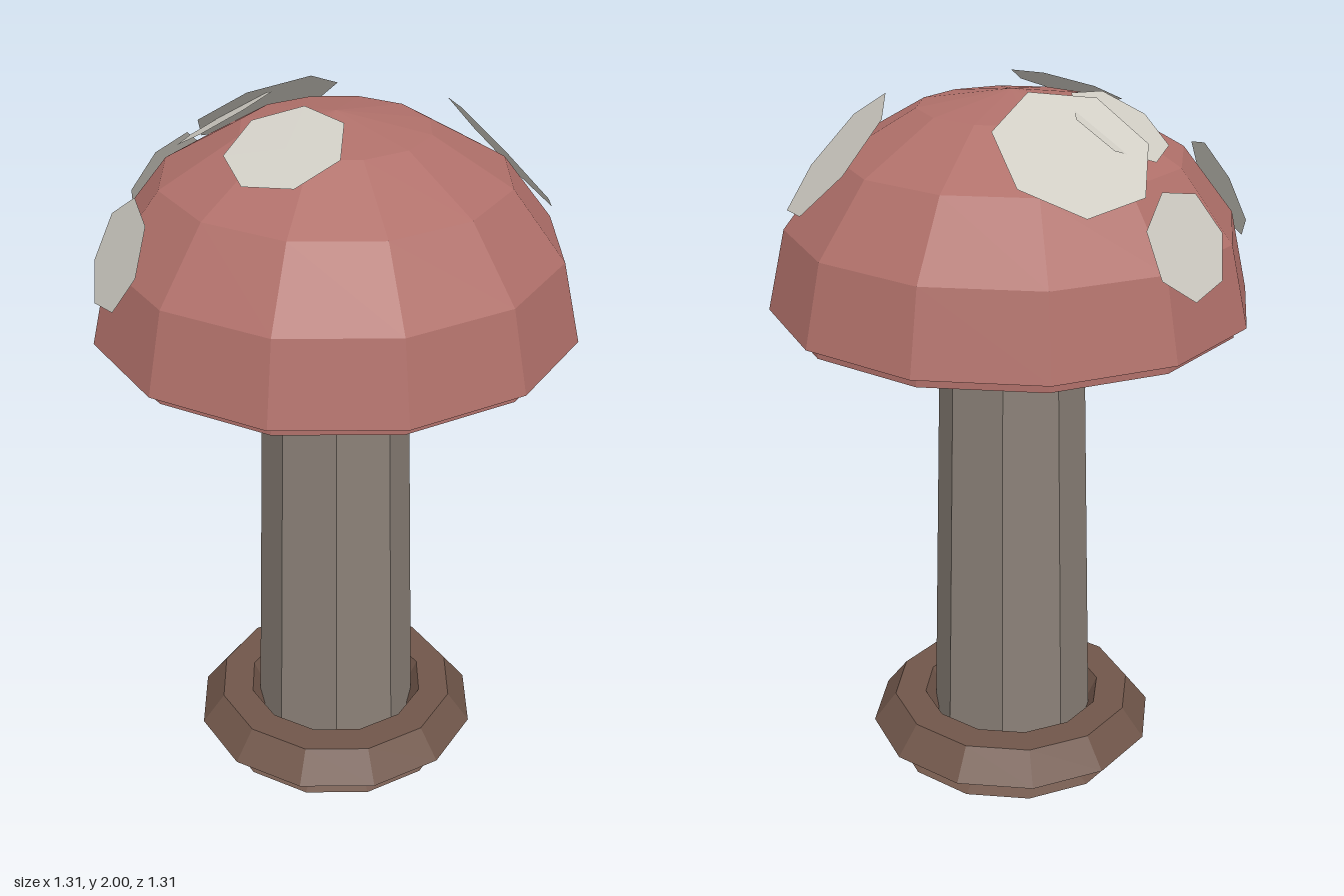
import * as THREE from 'three';

const material = (color, side = THREE.FrontSide) =>
  new THREE.MeshStandardMaterial({ color, side, flatShading: true });

const capMaterial = material(0xb0706a);
const stemMaterial = material(0x8a8077);
const baseMaterial = material(0x70564a, THREE.DoubleSide);
const spotMaterial = material(0xcfccc3, THREE.DoubleSide);

const CAP_Y = 1.4;

// Revolve [radius, height] pairs, listed upwards on the outside
function lathe(name, profile, sides, mat) {
  const points = profile.map(([r, y]) => new THREE.Vector2(r, y));
  const mesh = new THREE.Mesh(new THREE.LatheGeometry(points, sides), mat);
  mesh.name = name;
  return mesh;
}

// Flat seven-sided spot facing away from the middle of the cap
function spot(x, y, z, radius) {
  const mesh = new THREE.Mesh(new THREE.CircleGeometry(radius, 7), spotMaterial);
  mesh.position.set(x, y, z);
  mesh.lookAt(2 * x, 2 * y - CAP_Y, 2 * z);
  return mesh;
}

export function createModel() {
  const group = new THREE.Group();
  group.name = 'mushroom';

  // Tapered eight-sided stem
  const stem = new THREE.Mesh(new THREE.CylinderGeometry(0.198, 0.235, 1.38, 8), stemMaterial);
  stem.name = 'stem';
  stem.position.y = 0.69;
  group.add(stem);

  // Two flared skirts around the foot
  group.add(lathe('baseRing', [
    [0.24, 0.055], [0.35, 0.01], [0.257, 0.04], [0.257, 0.09],
    [0.415, 0.09], [0.35, 0.175], [0.26, 0.175], [0.225, 0.1],
  ], 12, baseMaterial));

  // Domed cap with a recessed lip and flat underside
  const capProfile = [[0, 1.37], [0.62, 1.37], [0.62, CAP_Y]];
  for (let i = 0; i <= 4; i++) {
    const a = (i / 4) * Math.PI / 2;
    capProfile.push([i === 4 ? 0 : 0.653 * Math.cos(a), CAP_Y + 0.57 * Math.sin(a)]);
  }
  group.add(lathe('cap', capProfile, 12, capMaterial));

  // Spots: x, y, z, radius
  const spots = new THREE.Group();
  spots.name = 'spots';
  [
    [0.4, 1.81, 0.22, 0.206],
    [-0.225, 1.94, 0.05, 0.157],
    [0.08, 1.88, -0.345, 0.207],
    [-0.115, 1.91, -0.29, 0.145],
    [-0.09, 1.67, -0.575, 0.143],
    [-0.54, 1.67, -0.23, 0.15],
  ].forEach((s, i) => {
    const mesh = spot(...s);
    mesh.name = `spot${i + 1}`;
    spots.add(mesh);
  });
  group.add(spots);

  return group;
}
